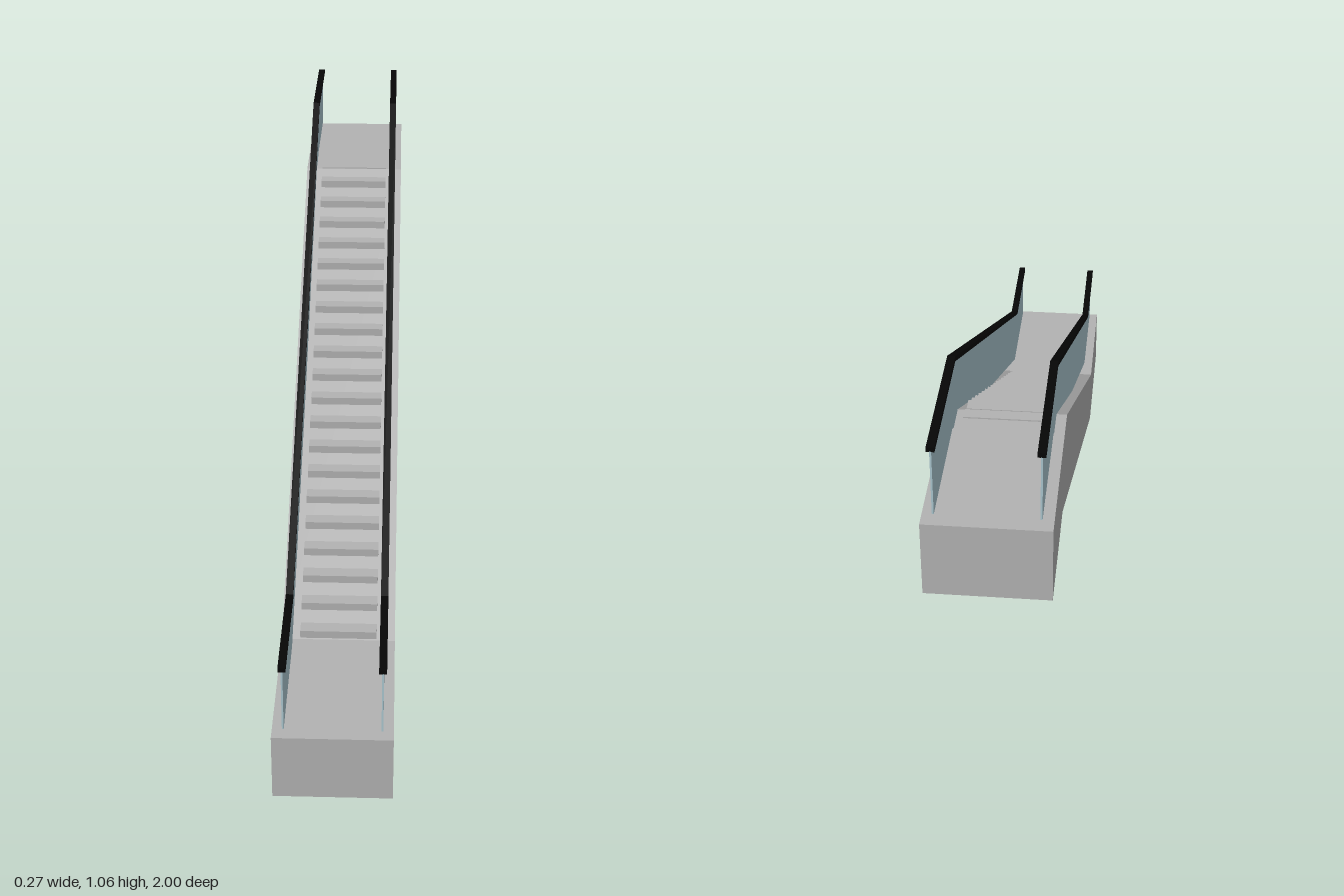
import * as THREE from 'three';

const truss = new THREE.MeshStandardMaterial({ color: 0xb2b2b2 });
truss.name = 'trussGrey';
const glass = new THREE.MeshStandardMaterial({ color: 0xaac6cf });
glass.name = 'paleBlueGlass';
const rubber = new THREE.MeshStandardMaterial({ color: 0x060606 });
rubber.name = 'blackRubber';

// Side profile given as [z, y] points, extruded across x and centred on the given x
function profile(name, points, width, x, material) {
  const shape = new THREE.Shape(points.map(([z, y]) => new THREE.Vector2(z, y)));
  const geometry = new THREE.ExtrudeGeometry(shape, { depth: width, bevelEnabled: false });
  geometry.translate(0, 0, -width / 2);
  geometry.rotateY(-Math.PI / 2);
  const mesh = new THREE.Mesh(geometry, material);
  mesh.name = name;
  mesh.position.x = x;
  return mesh;
}

export function createModel() {
  const model = new THREE.Group();
  model.name = 'escalator';

  // Solid truss with a flat landing at each end
  model.add(profile('truss', [
    [1, 0], [1, 0.163], [0.646, 0.163], [-0.598, 0.881],
    [-1, 0.881], [-1, 0.702], [-0.71, 0.702], [0.646, 0],
  ], 0.266, 0, truss));

  // Steps rising out of the sloped top
  const steps = new THREE.Group();
  steps.name = 'steps';
  const rise = 0.0359, run = 0.0622;
  for (let i = 0; i < 20; i++) {
    const step = new THREE.Mesh(new THREE.BoxGeometry(0.18, 0.03, 0.05), truss);
    step.name = 'step';
    step.position.set(0, 0.169 + i * rise, 0.643 - 0.025 - i * run);
    steps.add(step);
  }
  const topStep = new THREE.Mesh(new THREE.BoxGeometry(0.18, 0.006, 0.03), truss);
  topStep.name = 'topStep';
  topStep.position.set(0, 0.881, -0.615);
  steps.add(topStep);
  model.add(steps);

  // Glass balustrade and handrail on each side
  for (const [side, x] of [['left', 0.108], ['right', -0.108]]) {
    model.add(profile(side + 'Glass', [
      [0.982, 0.173], [0.982, 0.328], [0.715, 0.328], [-0.655, 1.046],
      [-0.98, 1.046], [-0.98, 0.893], [-0.69, 0.893], [0.69, 0.177],
    ], 0.004, x, glass));
    model.add(profile(side + 'Handrail', [
      [0.982, 0.326], [0.982, 0.337], [0.712, 0.337], [-0.655, 1.056],
      [-0.98, 1.056], [-0.98, 1.045], [-0.658, 1.045], [0.715, 0.326],
    ], 0.017, x, rubber));
  }
  return model;
}
